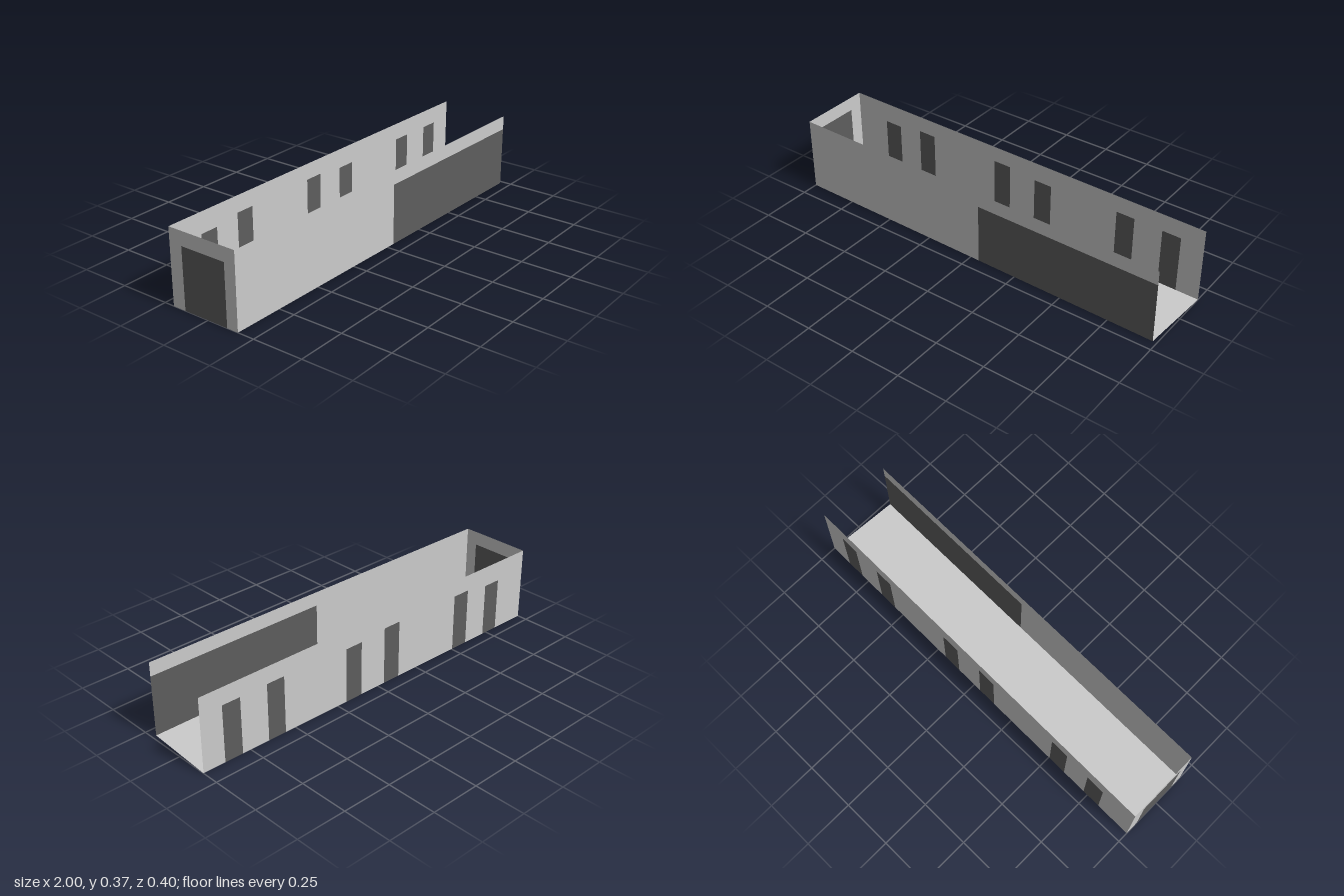
import * as THREE from 'three';

const HEIGHT = 0.37;
const wallMat = new THREE.MeshStandardMaterial({ color: 0xcccccc, side: THREE.DoubleSide });
const doorMat = new THREE.MeshStandardMaterial({ color: 0x5d5d5d, side: THREE.DoubleSide });

// Floor corners as [x, z]
const backLeft = [1, -0.164];
const backRight = [-1, -0.198];
const frontRight = [-1, 0.166];
const frontLeft = [0.98, 0.198];

function flat(name, points, material) {
  const shape = new THREE.Shape(points.map(([x, y]) => new THREE.Vector2(x, y)));
  const mesh = new THREE.Mesh(new THREE.ShapeGeometry(shape), material);
  mesh.name = name;
  return mesh;
}

// Upright thin wall from a to b; each opening is [start, end, height],
// with start and end as fractions of the wall length, filled by a dark panel
function wall(name, panelName, a, b, openings) {
  const group = new THREE.Group();
  group.name = name;
  const dx = b[0] - a[0], dz = b[1] - a[1];
  const length = Math.hypot(dx, dz);
  const outline = [[0, HEIGHT], [0, 0]];
  let endsOpen = false;
  for (const [start, end, h] of openings) {
    const s = start * length, e = end * length;
    outline.push([s, 0], [s, h], [e, h]);
    endsOpen = end >= 1;
    if (!endsOpen) outline.push([e, 0]);
    group.add(flat(panelName, [[s, 0], [e, 0], [e, h], [s, h]], doorMat));
  }
  if (!endsOpen) outline.push([length, 0]);
  outline.push([length, HEIGHT]);
  group.add(flat(name + 'Surface', outline, wallMat));
  group.position.set(a[0], 0, a[1]);
  group.rotation.y = Math.atan2(-dz, dx);
  return group;
}

export function createModel() {
  const model = new THREE.Group();
  model.name = 'corridor';

  // Floor, slightly skewed
  const floor = flat('floor',
    [frontRight, frontLeft, backLeft, backRight].map(([x, z]) => [x, -z]), wallMat);
  floor.rotation.x = -Math.PI / 2;
  model.add(floor);

  // Front wall with one wide panel reaching its open end
  model.add(wall('frontWall', 'widePanel', frontRight, frontLeft, [[1.046 / 1.98, 1, 0.3]]));

  // Back wall with three pairs of narrow doors: [left edge x, height]
  const doors = [[0.886, 0.284], [0.649, 0.286], [0.197, 0.275],
    [-0.04, 0.291], [-0.505, 0.288], [-0.726, 0.267]];
  model.add(wall('backWall', 'narrowDoor', backLeft, backRight,
    doors.map(([x, h]) => [(1 - x) / 2, (1 - x + 0.094) / 2, h])));

  // End wall with its large door; the opposite end stays open
  const span = frontRight[1] - backRight[1];
  model.add(wall('endWall', 'endDoor', backRight, frontRight,
    [[(-0.13 - backRight[1]) / span, (0.107 - backRight[1]) / span, 0.3]]));

  return model;
}
